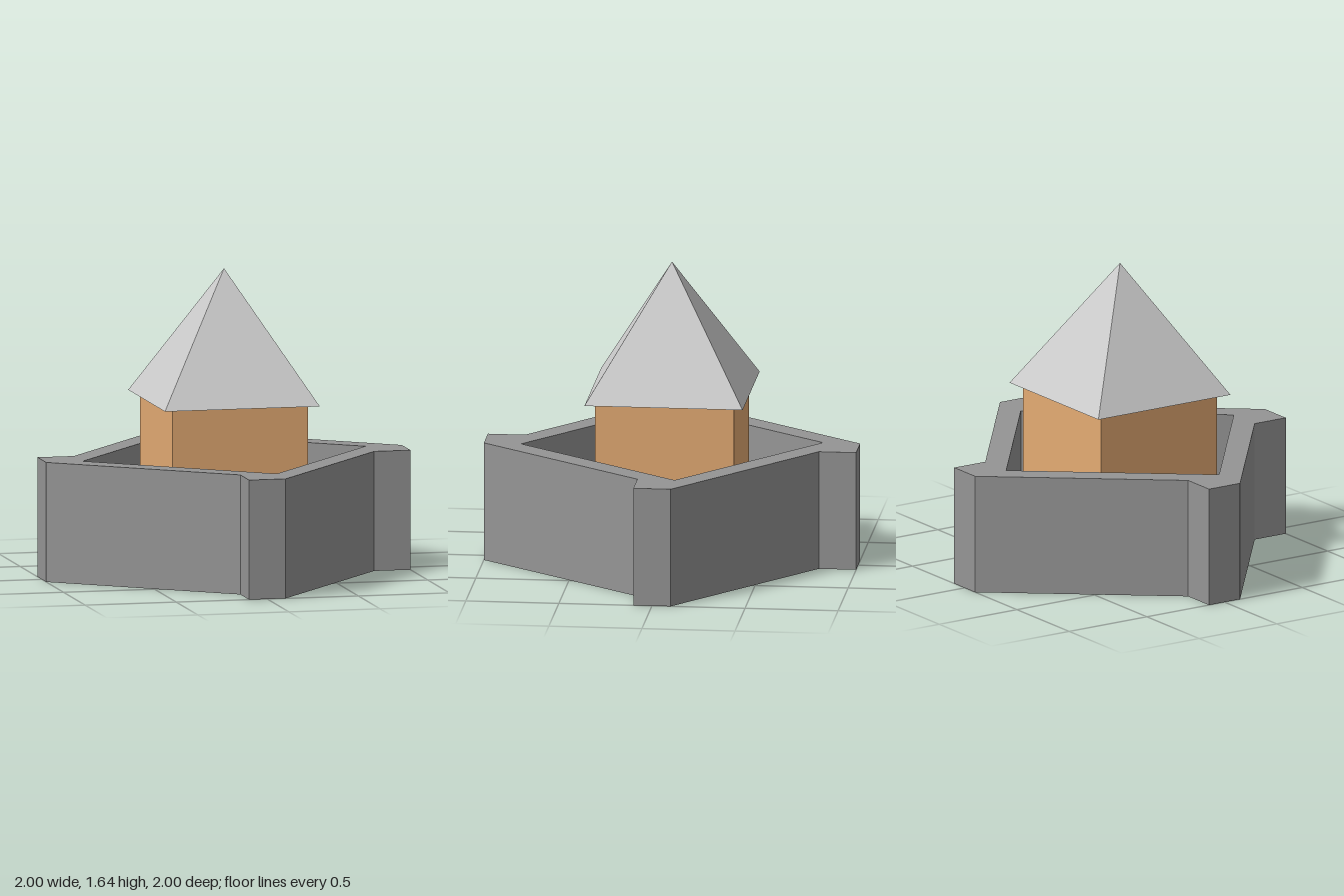
import * as THREE from 'three';

const WALL_HEIGHT = 0.645;
const BODY_BOTTOM = 0.247;
const EAVES = 0.945;
const APEX = 1.645;

function material(color) {
  return new THREE.MeshStandardMaterial({ color, flatShading: true });
}

// Plan points are given as [x, z]; the shape's y is -z so it can be laid flat.
function toPlan(points) {
  return points.map(([x, z]) => new THREE.Vector2(x, -z));
}

// Each point together with its mirror through the centre
function withOpposite(points) {
  return [...points, ...points.map(([x, z]) => [-x, -z])];
}

export function createModel() {
  const model = new THREE.Group();

  // Ring wall: four slanted walls running between square corner towers.
  // The courtyard winds opposite to the outline so its faces look inward.
  const outline = withOpposite([
    [-0.1, -1], [0.1, -1], [0.1, -0.8], [1, -0.1], [1, 0.1], [0.8, 0.1],
  ]);
  const courtyard = withOpposite([[0.8, -0.1], [-0.1, -0.8]]);
  const shape = new THREE.Shape(toPlan(outline));
  shape.holes.push(new THREE.Path(toPlan(courtyard)));
  const wallGeometry = new THREE.ExtrudeGeometry(shape, { depth: WALL_HEIGHT, bevelEnabled: false });
  wallGeometry.rotateX(-Math.PI / 2);
  const wall = new THREE.Mesh(wallGeometry, material(0x959595));
  wall.name = 'ringWall';
  model.add(wall);

  // Square keep in the courtyard, its floor raised above the ground
  const height = EAVES - BODY_BOTTOM;
  const keep = new THREE.Mesh(new THREE.BoxGeometry(0.745, height, 0.745), material(0xe4ab73));
  keep.name = 'keep';
  keep.position.y = BODY_BOTTOM + height / 2;
  model.add(keep);

  // Pyramid roof with overhanging eaves
  const roofHeight = APEX - EAVES;
  const roofGeometry = new THREE.ConeGeometry(0.425 * Math.SQRT2, roofHeight, 4);
  roofGeometry.rotateY(Math.PI / 4);
  const roof = new THREE.Mesh(roofGeometry, material(0xcccccc));
  roof.name = 'roof';
  roof.position.y = EAVES + roofHeight / 2;
  model.add(roof);

  return model;
}
